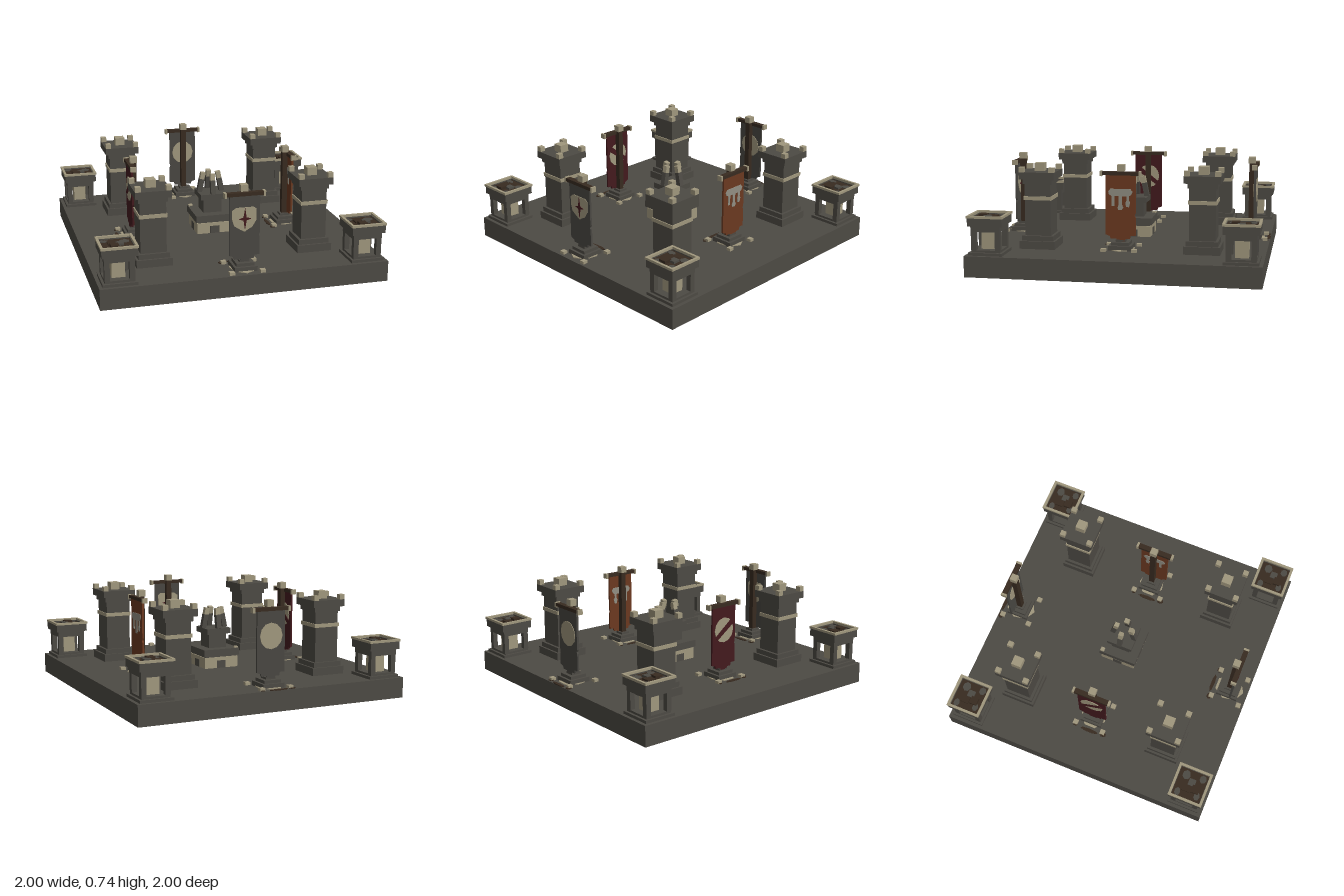
import * as THREE from 'three';

const mat = (name, color) => new THREE.MeshStandardMaterial({ name, color });

export function createModel() {
  const stone = mat('dark stone', 0x4d4a44);
  const bone = mat('pale bone', 0xa0977d);
  const wood = mat('dark wood', 0x382b20);
  const rust = mat('rust cloth', 0x6b3920);
  const crimson = mat('crimson cloth', 0x431a1e);
  const grey = mat('grey cloth', 0x494742);
  const ash = mat('ash paint', 0x918e82);

  const root = new THREE.Group();
  root.name = 'courtyard';
  const group = (name, parent, x = 0, y = 0, z = 0) => {
    const g = new THREE.Group();
    g.name = name;
    g.position.set(x, y, z);
    parent.add(g);
    return g;
  };
  const add = (parent, name, geo, m) => {
    const mesh = new THREE.Mesh(geo, m);
    mesh.name = name;
    parent.add(mesh);
    return mesh;
  };
  // Box from bottom y0 to top y1
  const box = (parent, name, m, w, y0, y1, d = w, x = 0, z = 0) => {
    const b = add(parent, name, new THREE.BoxGeometry(w, y1 - y0, d), m);
    b.position.set(x, (y0 + y1) / 2, z);
    return b;
  };
  const corners = (r, fn) => [-1, 1].forEach(sx => [-1, 1].forEach(sz => fn(sx * r, sz * r)));
  // Flat outline given thickness, centred on z
  const plate = (parent, name, m, pts, depth, z = 0) => {
    const shape = new THREE.Shape(pts.map(p => new THREE.Vector2(p[0], p[1])));
    const geo = new THREE.ExtrudeGeometry(shape, { depth, bevelEnabled: false });
    geo.translate(0, 0, z - depth / 2);
    return add(parent, name, geo, m);
  };
  // Thin irregular patch lying on a surface
  const patch = (parent, name, m, x, y, z, rx, rz) => {
    const p = add(parent, name, new THREE.CylinderGeometry(1, 1, 0.006, 7), m);
    p.scale.set(rx, 1, rz);
    p.position.set(x, y, z);
    return p;
  };

  const G = 0.145; // courtyard floor height
  box(root, 'base', stone, 2, 0, G);

  // Four watch towers
  corners(0.572, (x, z) => {
    const t = group('tower', root, x, 0, z);
    [[0.25, G, 0.2], [0.22, 0.2, 0.235], [0.182, 0.235, 0.6], [0.205, 0.595, 0.63], [0.25, 0.63, 0.68]]
      .forEach(([w, a, b]) => box(t, 'towerStone', stone, w, a, b));
    box(t, 'towerBand', bone, 0.196, 0.484, 0.51);
    box(t, 'towerCap', bone, 0.07, 0.68, 0.735);
    corners(0.105, (a, b) => box(t, 'towerStud', bone, 0.038, 0.68, 0.715, 0.038, a, b));
  });

  // Four corner braziers
  corners(0.858, (x, z) => {
    const b = group('brazier', root, x, 0, z);
    box(b, 'brazierFoot', stone, 0.235, G, 0.165);
    box(b, 'brazierStep', stone, 0.2, 0.165, 0.18);
    box(b, 'brazierCore', bone, 0.09, 0.18, 0.31);
    corners(0.083, (px, pz) => box(b, 'brazierPost', stone, 0.036, 0.18, 0.31, 0.036, px, pz));
    box(b, 'brazierLintel', stone, 0.205, 0.305, 0.345);
    box(b, 'brazierTray', stone, 0.24, 0.345, 0.388);
    box(b, 'brazierAsh', wood, 0.22, 0.386, 0.392);
    for (const s of [-1, 1]) {
      box(b, 'trayWall', stone, 0.24, 0.385, 0.4, 0.016, 0, s * 0.112);
      box(b, 'trayWall', stone, 0.016, 0.385, 0.4, 0.21, s * 0.112, 0);
      box(b, 'trayRim', bone, 0.25, 0.4, 0.416, 0.018, 0, s * 0.116);
      box(b, 'trayRim', bone, 0.018, 0.4, 0.416, 0.216, s * 0.116, 0);
    }
    [[-0.075, -0.07, 0.03, 0.022], [0.06, -0.05, 0.035, 0.03], [0.07, 0.07, 0.03, 0.025], [-0.06, 0.07, 0.03, 0.022]]
      .forEach(([px, pz, rx, rz]) => patch(b, 'brazierCinder', stone, px, 0.393, pz, rx, rz));
    [[-0.025, -0.02, 0.06], [0.02, 0.005, 0.05], [-0.02, 0.045, 0.055]]
      .forEach(([px, pz, w], i) => box(b, 'brazierCoal', i === 1 ? stone : wood, w, 0.39, 0.402 + i * 0.005, w, px, pz));
  });

  // Central shrine
  const shrine = group('shrine', root);
  box(shrine, 'shrineCore', stone, 0.25, G, 0.24);
  for (let i = 0; i < 4; i++) {
    const side = group('shrineSide', shrine);
    side.rotation.y = i * Math.PI / 2;
    box(side, 'shrinePanel', bone, 0.264, G, 0.225, 0.008, 0, 0.128);
    box(side, 'shrineDoor', stone, 0.07, G, 0.2, 0.006, 0, 0.132);
    // Claw leaning inward with a pale tip
    const claw = group('shrineClaw', side, 0, 0.43, 0.085);
    claw.rotation.x = -0.2;
    box(claw, 'clawArm', stone, 0.036, 0, 0.1, 0.036);
    box(claw, 'clawTip', bone, 0.034, 0.1, 0.15, 0.034);
  }
  box(shrine, 'shrineSlab', stone, 0.284, 0.235, 0.285);
  box(shrine, 'shrineNeck', stone, 0.14, 0.285, 0.39);
  box(shrine, 'shrinePlate', stone, 0.19, 0.39, 0.43);
  box(shrine, 'shrineChip', bone, 0.03, 0.285, 0.295, 0.03, -0.122, -0.122);

  // Banner emblems, drawn as thin plates on both faces of the cloth
  const shield = [[-0.09, 0.565], [-0.06, 0.585], [0.06, 0.585], [0.08, 0.57], [0.078, 0.49], [0.05, 0.445],
    [0.02, 0.43], [0, 0.415], [-0.03, 0.43], [-0.075, 0.46], [-0.088, 0.5]];
  const star = Array.from({ length: 8 }, (_, i) => {
    const r = i % 2 ? 0.015 : (i % 4 ? 0.075 : 0.045);
    return [r * Math.cos(i * Math.PI / 4), 0.505 + r * Math.sin(i * Math.PI / 4)];
  });
  const drips = [[-0.085, 0.55], [-0.07, 0.57], [0.07, 0.57], [0.085, 0.55], [0.075, 0.53], [0.06, 0.52], [0.06, 0.49],
    [0.068, 0.475], [0.06, 0.445], [0.04, 0.445], [0.035, 0.475], [0.042, 0.49], [0.042, 0.52], [0.012, 0.52],
    [0.012, 0.46], [0.02, 0.44], [0.01, 0.425], [-0.015, 0.425], [-0.02, 0.44], [-0.012, 0.46], [-0.012, 0.52],
    [-0.04, 0.52], [-0.04, 0.45], [-0.06, 0.45], [-0.06, 0.52], [-0.08, 0.53]];
  const round = Array.from({ length: 12 }, (_, i) => {
    const a = i * Math.PI / 6;
    return [0.085 * Math.cos(a), 0.495 + 0.09 * Math.sin(a)];
  });
  const slash = [[-0.085, 0.45], [-0.06, 0.43], [0.085, 0.535], [0.06, 0.565]];
  const cloth = [[-0.105, 0.668], [0.105, 0.668], [0.105, 0.4], [0.098, 0.385], [0.105, 0.37], [0.105, 0.245],
    [0.07, 0.245], [0.065, 0.222], [0.035, 0.222], [0.03, 0.205], [-0.025, 0.205], [-0.03, 0.222], [-0.07, 0.222],
    [-0.075, 0.24], [-0.105, 0.25]];

  // x, z, facing angle, cloth colour, emblem plates
  const banners = [
    [0, 0.858, 0, grey, [[shield, bone], [star, crimson]]],
    [0, -0.858, Math.PI, grey, [[round, bone]]],
    [0.575, 0, Math.PI / 2, rust, [[drips, ash]]],
    [-0.575, 0, -Math.PI / 2, crimson, [[round, bone], [slash, crimson]]],
  ];
  for (const [x, z, angle, clothMat, emblems] of banners) {
    const foot = group('bannerFoot', root, x, 0, z);
    foot.rotation.y = x ? Math.PI / 2 : 0;
    patch(foot, 'boneScatter', bone, 0, G + 0.003, 0, 0.095, 0.11);
    [[-0.115, -0.12, 0.025, 0.02], [-0.01, -0.13, 0.07, 0.014], [0.105, -0.115, 0.02, 0.02]]
      .forEach(([px, pz, rx, rz]) => patch(foot, 'dirtPatch', wood, px, G + 0.002, pz, rx, rz));
    corners(0.107, (px, pz) => box(foot, 'footStud', bone, 0.036, G, 0.165, 0.036, px, pz));
    [[0.16, G, 0.178], [0.125, 0.178, 0.2], [0.07, 0.2, 0.215]]
      .forEach(([w, a, b]) => box(foot, 'footStep', stone, w, a, b));

    const banner = group('banner', root, x, 0, z);
    banner.rotation.y = angle;
    box(banner, 'pole', wood, 0.04, 0.21, 0.69);
    box(banner, 'finial', bone, 0.05, 0.69, 0.735);
    box(banner, 'crossbar', wood, 0.28, 0.664, 0.688, 0.036, 0, 0.026);
    for (const s of [-1, 1]) box(banner, 'crossbarCap', bone, 0.016, 0.656, 0.692, 0.04, s * 0.134, 0.026);
    plate(banner, 'cloth', clothMat, cloth, 0.014, 0.028);
    emblems.forEach(([pts, m], i) => [-1, 1].forEach(s =>
      plate(banner, 'emblem', m, pts, 0.005, 0.028 + s * (0.0085 + i * 0.003))));
  }
  return root;
}
